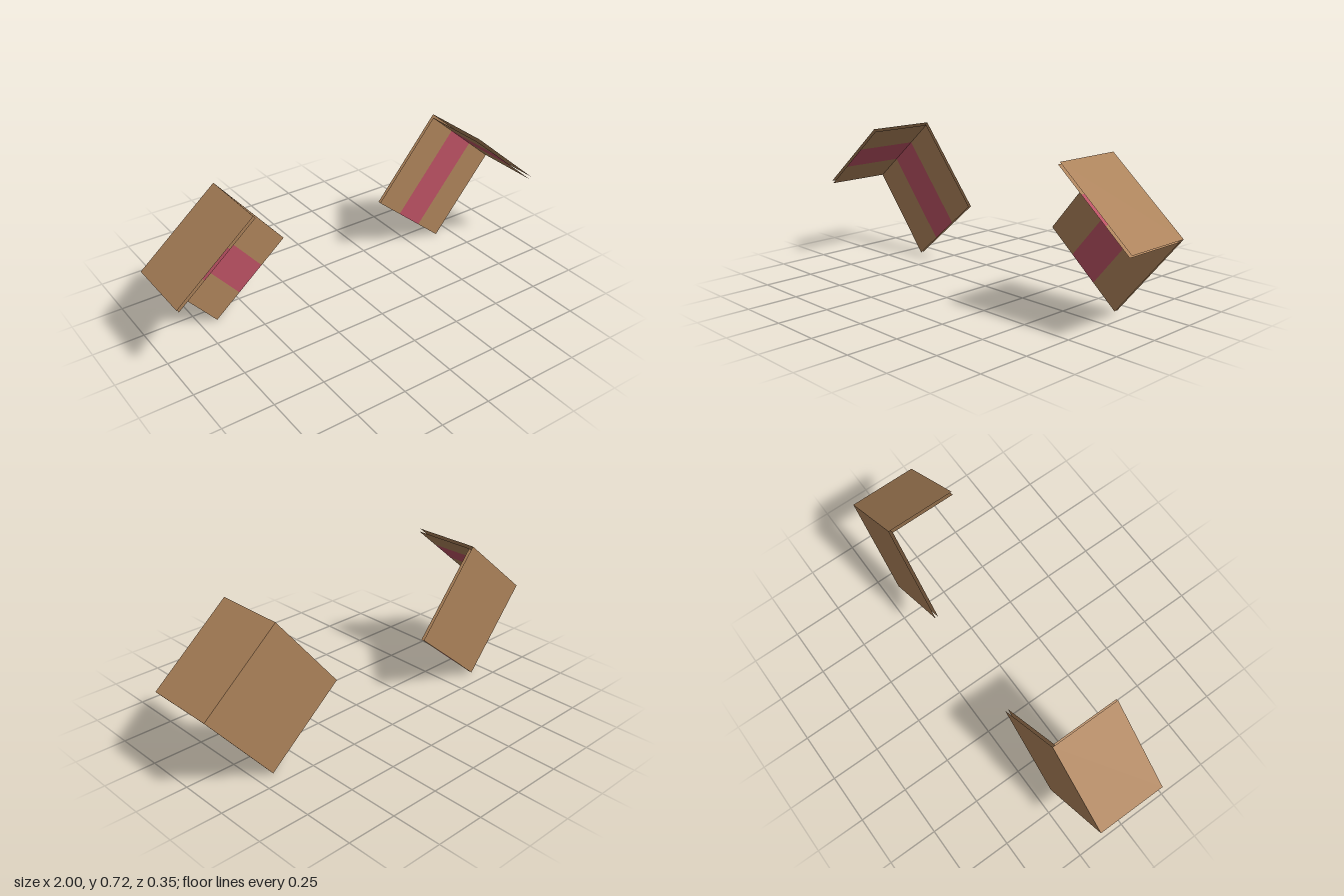
import * as THREE from 'three';

const W = 0.498;      // width along the fold
const L = 0.518;      // length of the back panel
const D = 0.349;      // depth of the flap
const T = 0.015;      // gap between outer and inner sheets
const TILT = THREE.MathUtils.degToRad(40);

export function createModel() {
  const brown = new THREE.MeshStandardMaterial({ color: 0xab8159, side: THREE.DoubleSide });
  brown.name = 'brown';
  const rose = new THREE.MeshStandardMaterial({ color: 0xb95062, side: THREE.DoubleSide });
  rose.name = 'rose';

  // upright sheet facing +z, or level sheet facing up or down
  function sheet(parent, name, material, w, h, pos, rotX = 0) {
    const mesh = new THREE.Mesh(new THREE.PlaneGeometry(w, h), material);
    mesh.name = name;
    mesh.position.set(...pos);
    mesh.rotation.x = rotX;
    parent.add(mesh);
  }

  // one folded panel; s = 1 for the +x side, -1 for the -x side
  function foldedPanel(s) {
    const g = new THREE.Group();
    g.name = s > 0 ? 'leftFoldedPanel' : 'rightFoldedPanel';
    const back = -D / 2;
    const mid = -s * W / 2;

    // outer sheets
    sheet(g, 'outerBack', brown, W, L, [mid, -L / 2, back], Math.PI);
    sheet(g, 'outerFlap', brown, W, D, [mid, 0, 0], -Math.PI / 2);

    // inner sheets, in three bands with a rose stripe in the middle
    for (let i = 0; i < 3; i++) {
      const x = -s * W * (i + 0.5) / 3;
      const material = i === 1 ? rose : brown;
      const part = i === 1 ? 'Stripe' : 'Band';
      sheet(g, 'innerBack' + part, material, W / 3, L - T, [x, -(L + T) / 2, back + T]);
      sheet(g, 'innerFlap' + part, material, W / 3, D - T, [x, -T, T / 2], Math.PI / 2);
    }

    g.position.set(s, W * Math.sin(0) + L * Math.cos(TILT), 0);
    g.rotation.z = -s * TILT;
    return g;
  }

  const model = new THREE.Group();
  model.name = 'foldedPanels';
  model.add(foldedPanel(1), foldedPanel(-1));
  return model;
}
